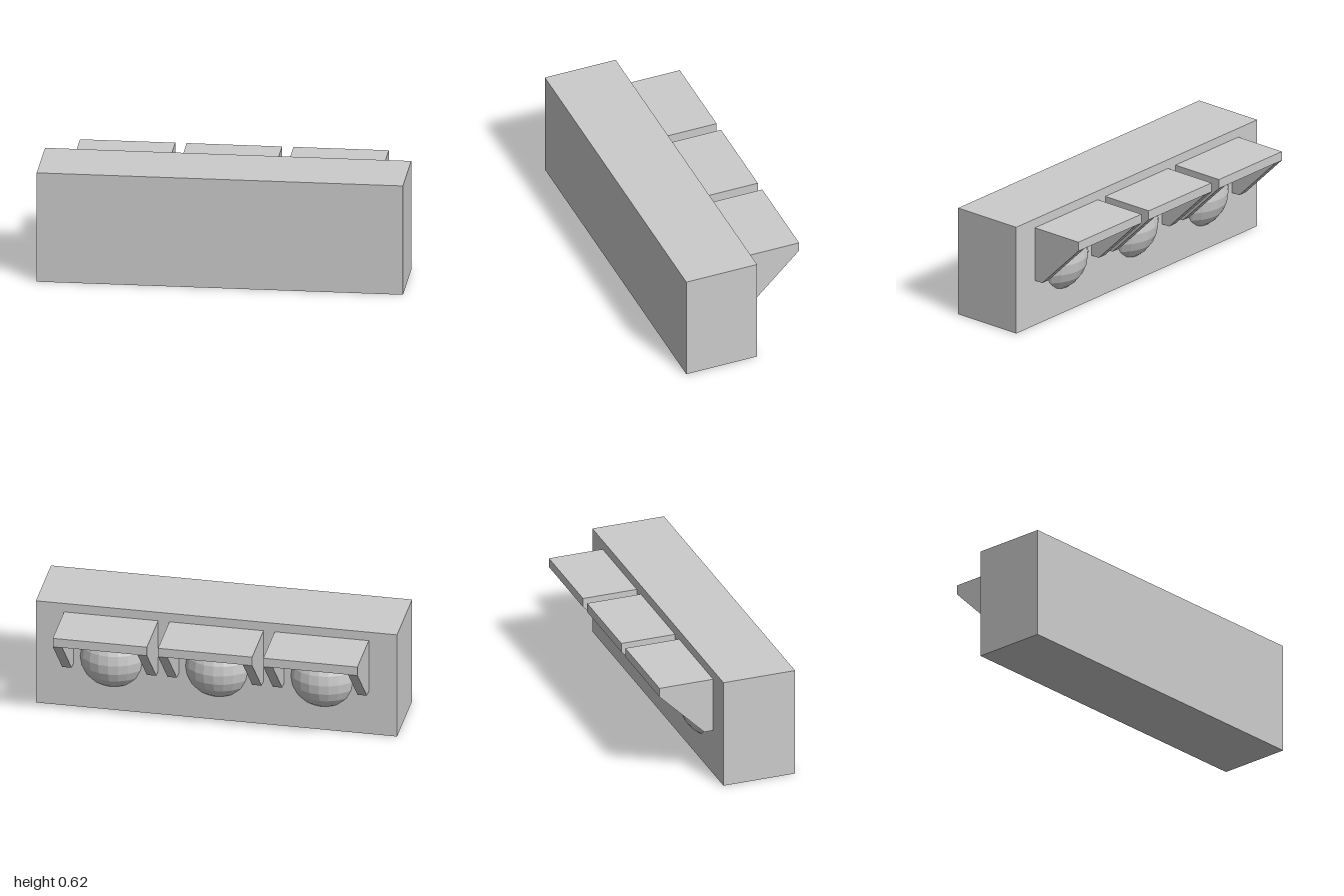
import * as THREE from 'three';

export function createModel() {
  const model = new THREE.Group();
  model.name = 'signalLight';
  const material = new THREE.MeshStandardMaterial({ color: 0xcccccc, flatShading: true });

  function add(parent, geometry, name, x, y, z) {
    const mesh = new THREE.Mesh(geometry, material);
    mesh.name = name;
    mesh.position.set(x, y, z);
    parent.add(mesh);
    return mesh;
  }

  // Housing block
  add(model, new THREE.BoxGeometry(2, 0.625, 0.416), 'housing', 0, 0.3125, 0.156);

  // Slanted hood cheek, drawn from the side and extruded along x
  const wall = 0.052;
  const cheekShape = new THREE.Shape([
    [0.052, 0.262], [0.104, 0.262], [0.364, 0.521], [0.364, 0.573], [0.052, 0.573],
  ].map(([x, y]) => new THREE.Vector2(x, y)));
  const cheek = new THREE.ExtrudeGeometry(cheekShape, { depth: wall, bevelEnabled: false });
  cheek.rotateY(Math.PI / 2);

  // Hood roof between the cheeks, and the faceted lens
  const roof = new THREE.BoxGeometry(0.521 - 2 * wall, wall, 0.312);
  const lens = new THREE.SphereGeometry(0.213, 24, 12);

  // Three identical lamps along the back
  [-0.583, 0, 0.583].forEach((x, i) => {
    const lamp = new THREE.Group();
    lamp.name = `lamp${i + 1}`;
    lamp.position.x = x;
    add(lamp, lens, 'lens', 0, 0.3125, 0.071);
    add(lamp, roof, 'hoodRoof', 0, 0.547, -0.208);
    add(lamp, cheek, 'hoodCheekRight', -0.2605, 0, 0);
    add(lamp, cheek, 'hoodCheekLeft', 0.2605 - wall, 0, 0);
    model.add(lamp);
  });

  return model;
}
